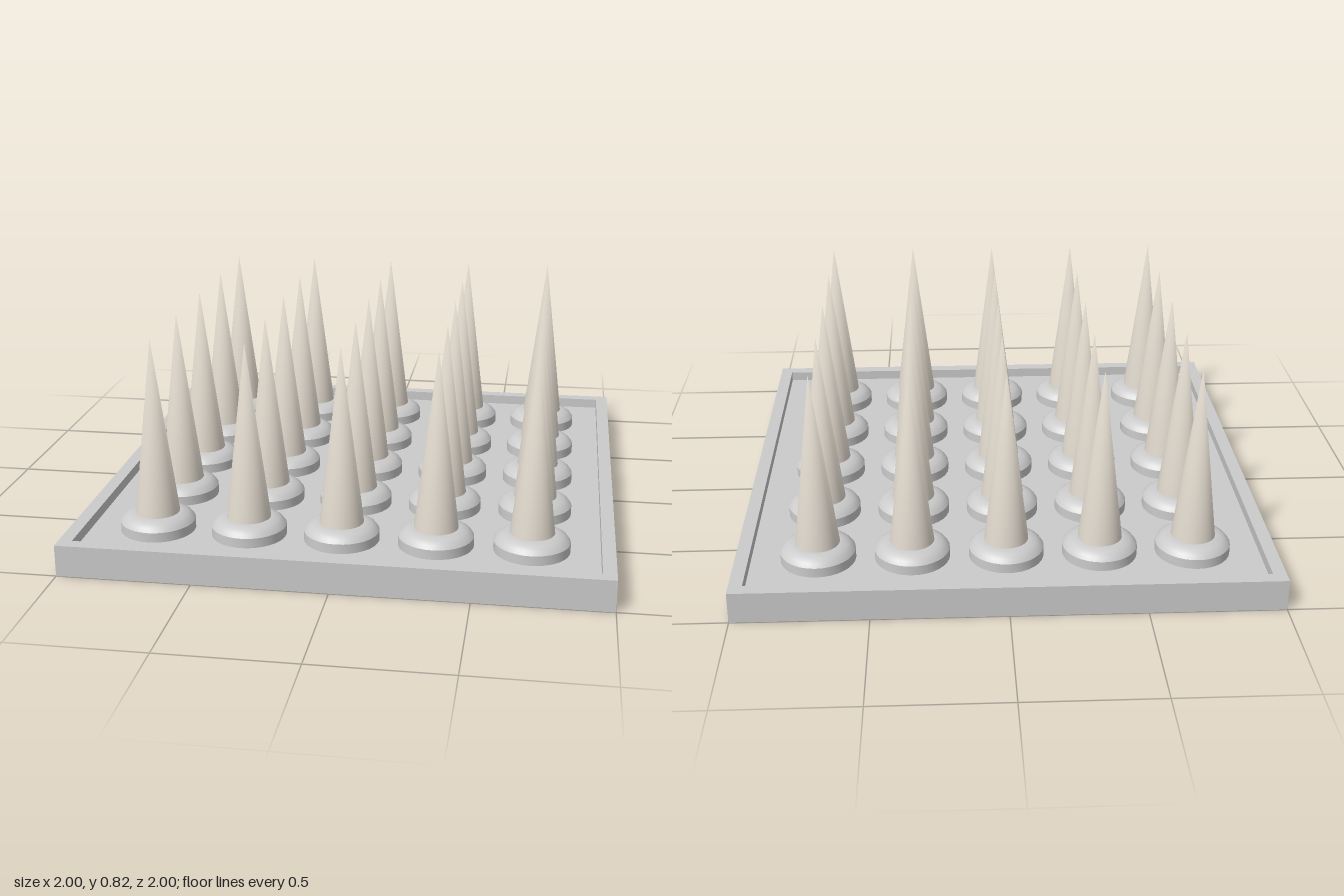
import * as THREE from 'three';
import { mergeVertices, toCreasedNormals } from 'three/addons/utils/BufferGeometryUtils.js';

const FLOOR = 0.08, RIM = 0.12, INNER = 0.95, TIP = 0.82;

// Square outline, used for the tray and its recess
function square(PathType, h) {
  const path = new PathType();
  path.moveTo(-h, -h).lineTo(h, -h).lineTo(h, h).lineTo(-h, h).closePath();
  return path;
}

// Cone with one shared tip vertex, so shading runs smoothly over the point
function spikeGeometry(radius, bottom, top) {
  const cone = new THREE.ConeGeometry(radius, top - bottom, 32, 1, true);
  cone.deleteAttribute('normal');
  cone.deleteAttribute('uv');
  const merged = mergeVertices(cone);
  merged.computeVertexNormals();
  return merged.translate(0, (top + bottom) / 2, 0);
}

export function createModel() {
  const model = new THREE.Group();
  model.name = 'spikeBoard';
  const grey = new THREE.MeshStandardMaterial({ color: 0xcccccc });
  const bone = new THREE.MeshStandardMaterial({ color: 0xe0d8cc });

  function add(parent, name, geometry, material) {
    const mesh = new THREE.Mesh(geometry, material);
    mesh.name = name;
    parent.add(mesh);
    return mesh;
  }

  // Tray: raised rim around a sunken floor
  const outline = square(THREE.Shape, 1);
  outline.holes.push(square(THREE.Path, INNER));
  const rim = new THREE.ExtrudeGeometry(outline, { depth: RIM, bevelEnabled: false });
  add(model, 'rim', rim.rotateX(-Math.PI / 2), grey);
  const floor = new THREE.BoxGeometry(2 * INNER, FLOOR, 2 * INNER);
  add(model, 'floor', floor.translate(0, FLOOR / 2, 0), grey);

  // Collar: upright side, rounded shoulder, flat top
  const profile = [[0.14, FLOOR], [0.14, 0.117], [0.13, 0.131], [0.113, 0.143], [0.09, 0.15], [0.07, 0.15]]
    .map(([r, y]) => new THREE.Vector2(r, y));
  const collarGeometry = toCreasedNormals(new THREE.LatheGeometry(profile, 32), 0.6);
  const coneGeometry = spikeGeometry(0.086, RIM, TIP);

  // Five by five grid of collared spikes
  for (let row = -2; row <= 2; row++) {
    for (let col = -2; col <= 2; col++) {
      const unit = new THREE.Group();
      unit.name = 'collaredSpike';
      unit.position.set(col * 0.35, 0, row * 0.35);
      add(unit, 'collar', collarGeometry, grey);
      add(unit, 'spike', coneGeometry, bone);
      model.add(unit);
    }
  }
  return model;
}
